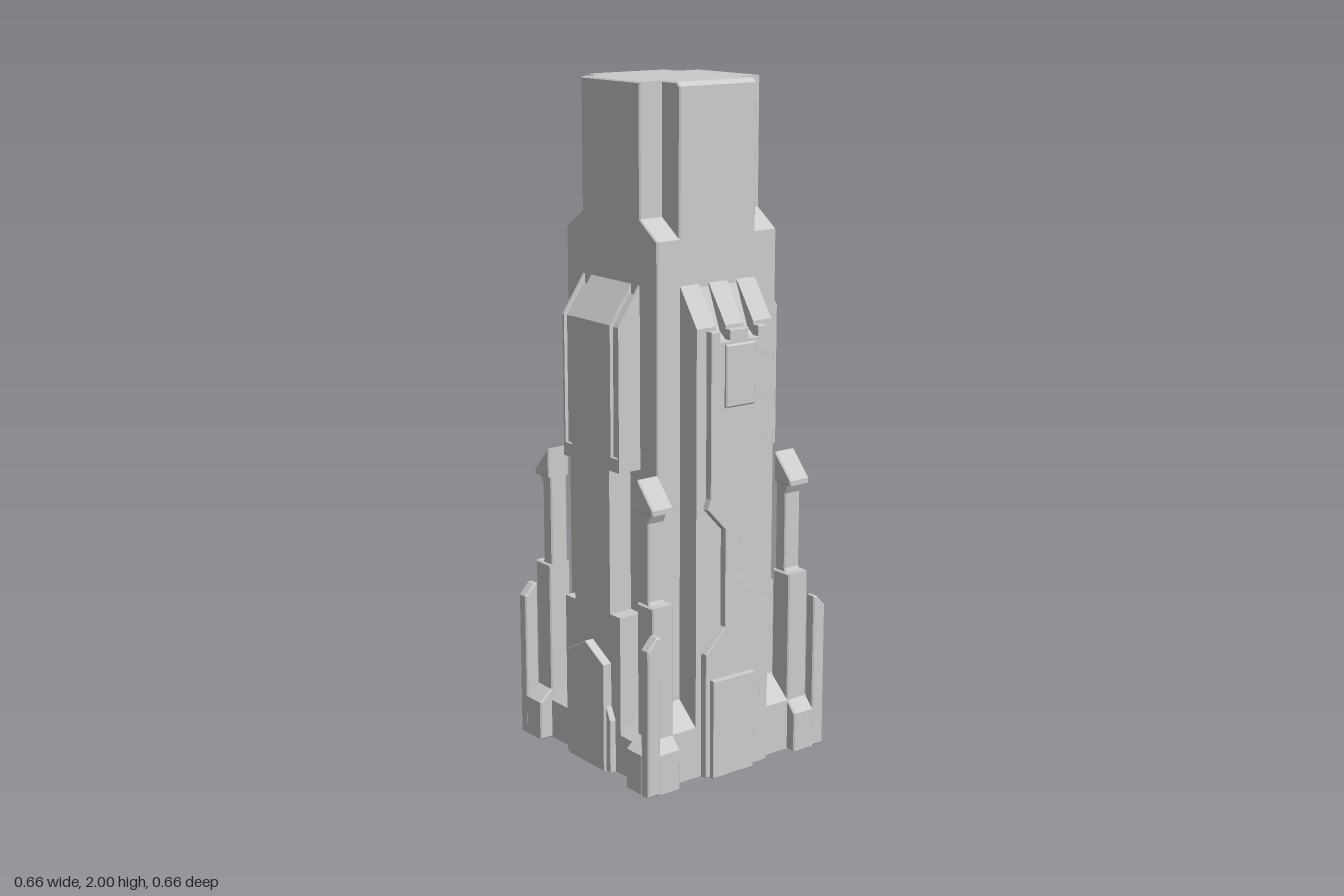
import * as THREE from 'three';

// The shell is open underneath, so its inside shows too
const material = new THREE.MeshStandardMaterial({
  color: 0xcccccc, flatShading: true, side: THREE.DoubleSide,
});
const INNER = 0.2; // depth at which facade parts start, hidden inside the core

// Drop the open underside and the hidden backs of facade parts
function trim(geometry) {
  const p = geometry.attributes.position, kept = [];
  for (let i = 0; i < p.count; i += 3) {
    const tri = [i, i + 1, i + 2];
    if (tri.every(k => p.getY(k) < 0.001)) continue;
    if (tri.every(k => Math.abs(p.getZ(k) - INNER) < 0.001)) continue;
    for (const k of tri) kept.push(p.getX(k), p.getY(k), p.getZ(k));
  }
  const out = new THREE.BufferGeometry();
  out.setAttribute('position', new THREE.Float32BufferAttribute(kept, 3));
  out.computeVertexNormals();
  return out;
}

// Outline extruded from a to b; along z the outline is (x, y), along x it is (z, y)
function prism(points, axis, a, b, bevel = 0.004) {
  const shape = new THREE.Shape(points.map(([u, v]) => new THREE.Vector2(u, v)));
  const g = new THREE.ExtrudeGeometry(shape, {
    depth: b - a - 2 * bevel, bevelEnabled: bevel > 0, bevelThickness: bevel,
    bevelSize: bevel, bevelOffset: -bevel, bevelSegments: 1,
  });
  g.translate(0, 0, bevel);
  if (axis === 'x') g.rotateY(-Math.PI / 2).translate(b, 0, 0);
  else g.translate(0, 0, a);
  return trim(g);
}

const rect = (u0, u1, v0, v1) => [[u0, v0], [u1, v0], [u1, v1], [u0, v1]];

// Mirrored copy with the winding put right again
function mirror(geometry, sx, sz) {
  const g = geometry.clone().scale(sx, 1, sz);
  if (sx * sz < 0) {
    const p = g.attributes.position.array;
    for (let i = 0; i < p.length; i += 9) {
      for (let k = 0; k < 3; k++) [p[i + 3 + k], p[i + 6 + k]] = [p[i + 6 + k], p[i + 3 + k]];
    }
  }
  g.computeVertexNormals();
  return g;
}

// Sloped panel head split into strips, every second strip being a groove
function grooved(cuts, y0, groove) {
  const full = [[INNER, y0], [0.29, y0], [0.29, 1.33], [0.215, 1.44], [INNER, 1.44]];
  return cuts.slice(1).map((x, i) => prism(i % 2 ? groove : full, 'x', cuts[i], x, 0));
}

export function createModel() {
  const model = new THREE.Group();
  const add = (parent, name, geometry) => {
    const mesh = new THREE.Mesh(geometry, material);
    mesh.name = name;
    parent.add(mesh);
  };

  // Core with notched upper corners
  const core = new THREE.Group();
  core.name = 'core';
  model.add(core);
  add(core, 'towerBody', prism([[-0.215, 0], [0.215, 0], [0.215, 1.57], [0.137, 1.625],
    [0.137, 2], [-0.137, 2], [-0.137, 1.625], [-0.215, 1.57]], 'x', -0.215, 0.215));
  add(core, 'upperShaft', prism([[-0.215, 1.5], [0.215, 1.5], [0.215, 1.988], [0.203, 2],
    [-0.203, 2], [-0.215, 1.988]], 'x', -0.137, 0.137));

  // Front facade
  const front = [
    ['facadePanel', prism(rect(-0.135, 0.135, 0, 1.25), 'z', INNER, 0.29, 0)],
    ...grooved([-0.135, -0.068, -0.033, 0.033, 0.068, 0.135], 1.25,
      [[INNER, 1.25], [0.29, 1.25], [0.29, 1.29], [0.265, 1.31], [0.215, 1.43], [INNER, 1.43]])
      .map(g => ['facadeHead', g]),
    ['armourPlate', prism([[-0.1, 1.32], [-0.068, 1.32], [-0.068, 1.29], [-0.033, 1.29], [-0.033, 1.32],
      [0.033, 1.32], [0.033, 1.29], [0.068, 1.29], [0.068, 1.32], [0.1, 1.32], [0.1, 0.92],
      [0.01, 0.79], [0.01, 0.6], [0.12, 0.48], [0.12, 0.34], [0.09, 0.31], [0.09, 0.17], [0.115, 0.14],
      [0.115, 0], [-0.115, 0], [-0.115, 0.38], [-0.045, 0.45], [-0.045, 0.74], [-0.11, 0.81],
      [-0.1, 0.84]], 'z', INNER, 0.313, 0.002)],
    ['hatch', prism(rect(-0.053, 0.053, 1.1, 1.28), 'z', INNER, 0.322)],
    ['baseBlock', prism(rect(-0.1, 0.05, 0, 0.3), 'z', INNER, 0.33, 0.002)],
  ];

  // Side facade, shaped facing forward and then turned to the side
  const side = [
    ['sidePanel', prism([[-0.135, 0], [0.135, 0], [0.135, 0.48], [0.087, 0.48], [0.087, 0.91],
      [0.135, 0.91], [0.135, 0.95], [-0.135, 0.95], [-0.135, 0.91], [-0.087, 0.91],
      [-0.087, 0.48], [-0.135, 0.48]], 'z', INNER, 0.29, 0)],
    ...grooved([-0.135, -0.127, -0.095, 0.095, 0.127, 0.135], 0.95,
      [[INNER, 0.95], [0.279, 0.95], [0.279, 1.325], [0.222, 1.41], [INNER, 1.41]])
      .map(g => ['sideHead', g]),
    ['doorway', prism([[-0.09, 0], [0.09, 0], [0.09, 0.33], [0, 0.38], [-0.09, 0.33]],
      'z', INNER, 0.318, 0.002)],
    ['doorFooting', prism([[-0.11, 0], [0.11, 0], [0.11, 0.16], [0.09, 0.2], [-0.09, 0.2],
      [-0.11, 0.16]], 'z', INNER, 0.309, 0.002)],
  ].map(([name, g]) => [name, g.rotateY(Math.PI / 2)]);

  // Corner pillar standing in a low stepped foot, with a post on the outer corner
  const corner = [
    ['pillarHead', prism([[0.217, 0.82], [0.29, 0.82], [0.29, 0.835], [0.222, 0.91], [0.217, 0.91]],
      'x', 0.217, 0.29)],
    ['pillarNeck', prism([[0.217, 0.53], [0.275, 0.53], [0.26, 0.56], [0.26, 0.79], [0.28, 0.83],
      [0.217, 0.83]], 'x', 0.225, 0.282)],
    ['pillarShaft', prism(rect(0.217, 0.29, 0, 0.55), 'x', 0.217, 0.29)],
    ['frontFoot', prism([[0.28, 0], [0.323, 0], [0.323, 0.12], [0.29, 0.155], [0.28, 0.155]],
      'x', 0.217, 0.295)],
    ['sideFoot', prism([[0.28, 0], [0.332, 0], [0.332, 0.12], [0.29, 0.155], [0.28, 0.155]],
      'z', 0.217, 0.295)],
    ['cornerPost', prism([[0.288, 0], [0.332, 0], [0.332, 0.44], [0.3, 0.475], [0.288, 0.475]],
      'z', 0.288, 0.323)],
    ['frontStep', prism([[INNER, 0], [0.29, 0], [0.29, 0.155], [0.215, 0.22], [INNER, 0.22]],
      'x', 0.13, 0.219, 0)],
    ['sideStep', prism([[0.21, 0], [0.29, 0], [0.29, 0.12], [0.21, 0.18]], 'z', 0.13, 0.219, 0)],
  ];

  const place = (name, parts, sx, sz) => {
    const group = new THREE.Group();
    group.name = name;
    for (const [part, g] of parts) add(group, part, mirror(g, sx, sz));
    model.add(group);
  };
  for (const s of [1, -1]) {
    place(s > 0 ? 'frontFacade' : 'backFacade', front, 1, s);
    place(s > 0 ? 'leftFacade' : 'rightFacade', side, s, 1);
    for (const t of [1, -1]) {
      place((t > 0 ? 'front' : 'back') + (s > 0 ? 'Left' : 'Right') + 'Corner', corner, s, t);
    }
  }
  return model;
}
